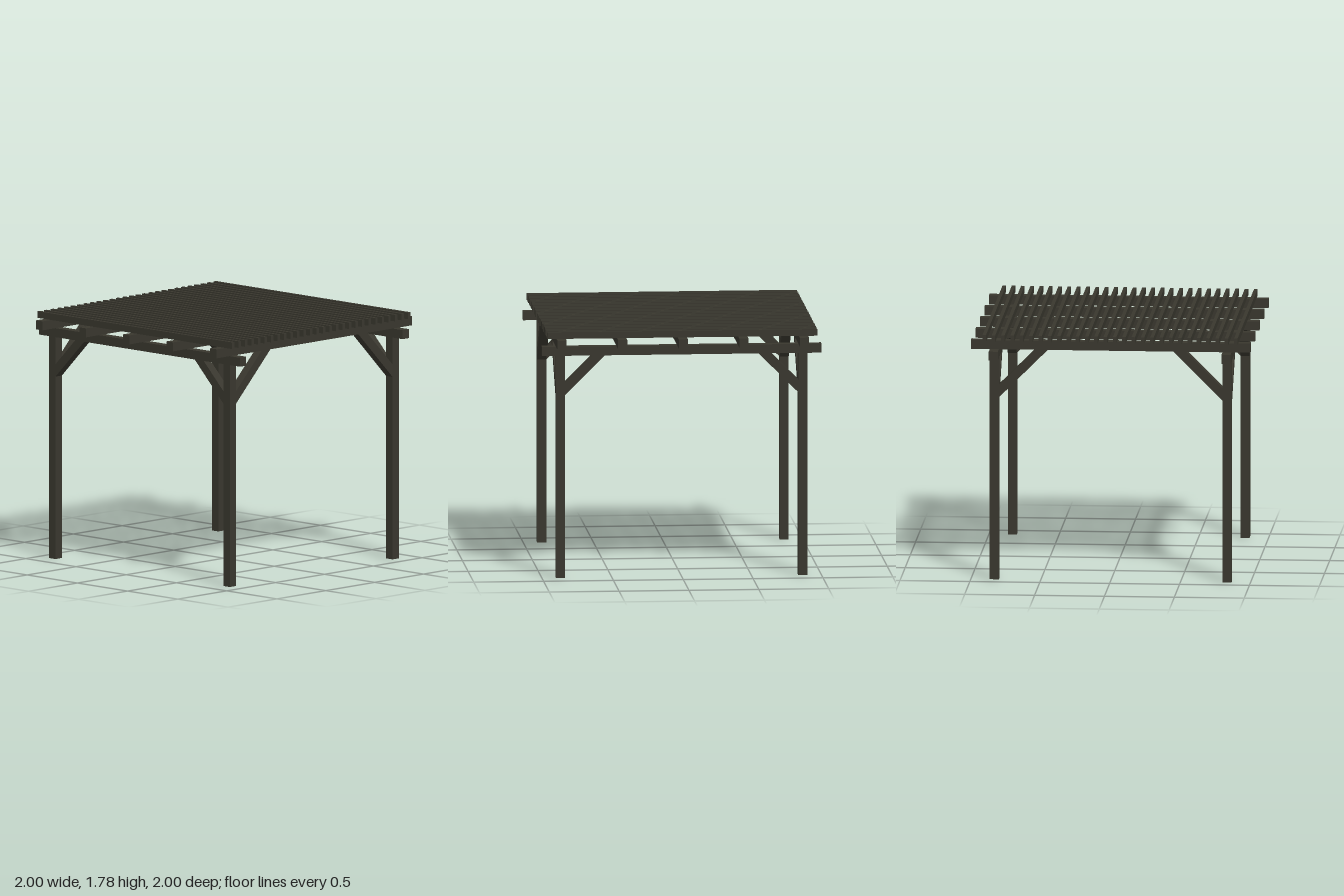
import * as THREE from 'three';

const T = 0.065;          // timber thickness
const PX = 0.8325;        // post centre in x
const PZ = 0.8675;        // post centre in z
const POST_TOP = 1.605;
const BEAM_TOP = 1.67;
const RAFTER_TOP = 1.735;

// 45 degree brace with plumb and level cuts, running inward along local +x
function braceGeometry(top) {
  const low = 1.32, high = 1.41;
  const shape = new THREE.Shape([
    new THREE.Vector2(0, low),
    new THREE.Vector2(top - low, top),
    new THREE.Vector2(top - high, top),
    new THREE.Vector2(0, high),
  ]);
  const g = new THREE.ExtrudeGeometry(shape, { depth: T, bevelEnabled: false });
  return g.translate(0, 0, -T / 2);
}

export function createModel() {
  const wood = new THREE.MeshStandardMaterial({ color: 0x39372e });
  wood.name = 'dark stained wood';

  const model = new THREE.Group();
  model.name = 'pergola';

  const add = (name, geometry, x, y, z, turn = 0) => {
    const mesh = new THREE.Mesh(geometry, wood);
    mesh.name = name;
    mesh.position.set(x, y, z);
    mesh.rotation.y = turn;
    model.add(mesh);
  };

  const post = new THREE.BoxGeometry(T, POST_TOP, T);
  const beam = new THREE.BoxGeometry(T, BEAM_TOP - POST_TOP, 2);
  const rafter = new THREE.BoxGeometry(2, RAFTER_TOP - BEAM_TOP, T);
  const slat = new THREE.BoxGeometry(0.025, 0.048, 1.933);
  const rafterBrace = braceGeometry(BEAM_TOP);
  const beamBrace = braceGeometry(POST_TOP);

  // Posts with two braces each, and the side beams resting on them
  for (const sx of [-1, 1]) {
    for (const sz of [-1, 1]) {
      add('post', post, sx * PX, POST_TOP / 2, sz * PZ);
      add('rafterBrace', rafterBrace, sx * (PX - T / 2), 0, sz * PZ, sx > 0 ? Math.PI : 0);
      add('beamBrace', beamBrace, sx * PX, 0, sz * (PZ - T / 2), sz * Math.PI / 2);
    }
    add('sideBeam', beam, sx * PX, (POST_TOP + BEAM_TOP) / 2, 0);
  }

  // Five cross rafters
  for (let i = -2; i <= 2; i++) {
    add('rafter', rafter, 0, (BEAM_TOP + RAFTER_TOP) / 2, i * PZ / 2);
  }

  // Roof slats
  const count = 28;
  for (let i = 0; i < count; i++) {
    add('roofSlat', slat, -0.9 + 1.8 * i / (count - 1), RAFTER_TOP + 0.024, 0);
  }

  return model;
}
